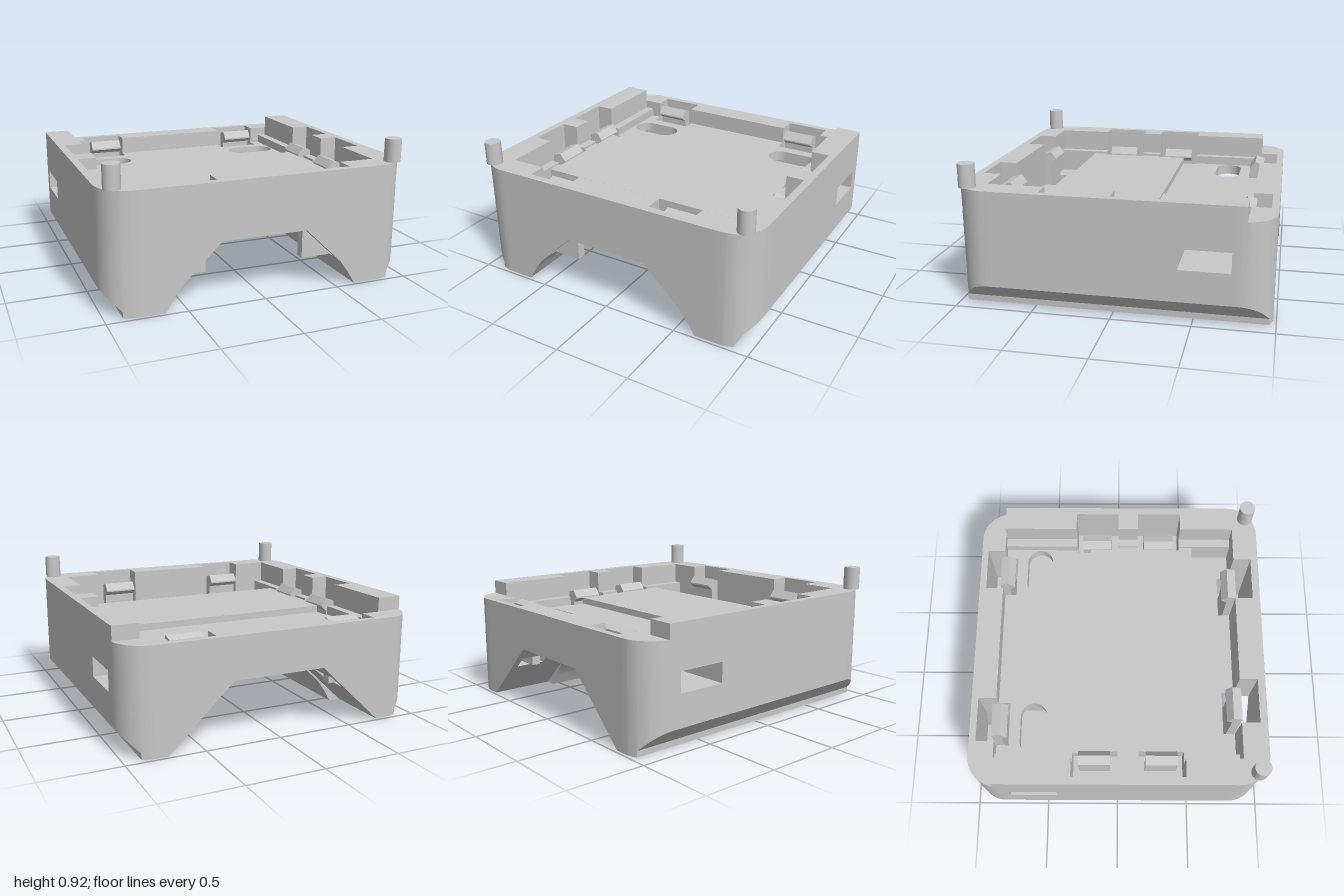
import * as THREE from 'three';
import { toCreasedNormals } from 'three/addons/utils/BufferGeometryUtils.js';

const R = 0.2, HZ = 0.98;
const WIN = { z0: -0.73, z1: -0.41, y0: 0.355, y1: 0.485 };
const SLOT = { x0: 0.4, x1: 0.77 };
const FLOOR = 0.555;
const ARCH_Z = [-0.55, 0.5];

// Underside arch profiles as [|x|, y], one for each section along z
const foot = [[0.889, 0], [0.89, 0.04], [1, 0.15]];
const archFront = [[0, 0.4], [0.28, 0.4], [0.53, 0.16], [0.585, 0.085], [0.635, 0], ...foot];
const archMiddle = [[0, 0.53], [0.15, 0.53], [0.545, 0.16], [0.6, 0.085], [0.65, 0], ...foot];
const archBack = [[0, 0.4], [0.31, 0.4], [0.73, 0], ...foot];

function bottom(x, z) {
  const p = z > ARCH_Z[1] ? archFront : z > ARCH_Z[0] ? archMiddle : archBack;
  const a = Math.abs(x);
  for (let i = 1; i < p.length; i++) {
    if (a <= p[i][0] + 1e-9) {
      const t = (a - p[i - 1][0]) / (p[i][0] - p[i - 1][0]);
      return p[i - 1][1] + t * (p[i][1] - p[i - 1][1]);
    }
  }
  return 0.15;
}

// Regions of the upper side: |x| from, |x| to, z from, z to, height. Later ones win.
const regions = [
  [0, 1, -1, 1, 0.767],             // rim
  [0, 1, -1, -0.81, 0.675],         // lower back rim
  [0, 0.83, -0.815, 0.81, 0.615],   // side ledges
  [0, 0.77, -0.815, -0.2, FLOOR],   // back floor
  [0, 0.77, -0.2, 0.535, 0.6],      // middle floor
  [0, 0.77, 0.535, 0.81, 0.45],     // front trough
  [0.75, 0.95, -0.3, 0, 0.45],      // side clip pockets
  [0.75, 0.95, 0.14, 0.44, 0.45],
  [0.295, 0.59, 0.73, 0.93, 0.18],  // front clip pockets
  [0.405, 0.7, -0.935, -0.735, 0.24], // back clip pockets
];

function top(x, z) {
  const a = Math.abs(x);
  let h = 0;
  for (const [x0, x1, z0, z1, y] of regions) if (a > x0 && a < x1 && z > z0 && z < z1) h = y;
  return h;
}

// Half depth of the rounded outline at x
function zMax(x) {
  const d = Math.max(0, Math.abs(x) - (1 - R));
  return HZ - R + Math.sqrt(Math.max(0, R * R - d * d));
}

function sorted(list) {
  return [...new Set(list.map((v) => Math.round(v * 1e5) / 1e5))].sort((a, b) => a - b);
}

function bodyGeometry() {
  const ax = [SLOT.x0, SLOT.x1, 0.48, 0.51, 1];
  [archFront, archMiddle, archBack].forEach((p) => p.forEach((q) => ax.push(q[0])));
  regions.forEach((r) => ax.push(r[0], r[1]));
  for (let i = 0; i <= 10; i++) ax.push(1 - R + R * Math.sin((i / 10) * Math.PI / 2));
  const xs = sorted(ax.flatMap((v) => [v, -v])).map((v) => v + 0);
  const zs = sorted([-HZ, HZ, ...ARCH_Z, WIN.z0, WIN.z1,
    ...regions.flatMap((r) => [r[2], r[3]]).filter((z) => Math.abs(z) < HZ)]);
  const pos = [];
  const tri = (a, b, c) => {
    const u = new THREE.Vector3(...b).sub(new THREE.Vector3(...a));
    const v = new THREE.Vector3(...c).sub(new THREE.Vector3(...a));
    if (u.cross(v).length() > 1e-9) pos.push(...a, ...b, ...c);
  };
  const quad = (a, b, c, d, flip) => {
    if (flip) { tri(a, d, c); tri(a, c, b); } else { tri(a, b, c); tri(a, c, d); }
  };
  const clampZ = (x, z) => Math.max(-zMax(x), Math.min(zMax(x), z));

  const cell = (i, j) => {
    if (i < 0 || j < 0 || i >= xs.length - 1 || j >= zs.length - 1) return null;
    const x = (xs[i] + xs[i + 1]) / 2, z = (zs[j] + zs[j + 1]) / 2;
    const t = top(x, z);
    return t <= bottom(x, z) ? null : { t, z, x };
  };
  // Upright face between two neighbouring cells, both given at points p and q
  const wall = (p, q, A, B, flip) => {
    const put = (l0, l1, h0, h1, f) => quad([p[0], l0, p[1]], [q[0], l1, q[1]],
      [q[0], h1, q[1]], [p[0], h0, p[1]], f);
    const low = (c) => [bottom(p[0], c.z), bottom(q[0], c.z)];
    if (!A && !B) return;
    if (!A || !B) {
      const c = A || B, [l0, l1] = low(c), f = A ? flip : !flip;
      if (Math.abs(p[0]) === 1 && p[0] === q[0] && c.z > WIN.z0 && c.z < WIN.z1) {
        put(l0, l1, WIN.y0, WIN.y0, f);
        put(WIN.y1, WIN.y1, c.t, c.t, f);
      } else put(l0, l1, c.t, c.t, f);
      return;
    }
    const lo = Math.min(A.t, B.t), hi = Math.max(A.t, B.t);
    if (lo !== hi) put(lo, lo, hi, hi, A.t > B.t ? flip : !flip);
    const a = low(A), b = low(B);
    if (a[0] !== b[0] || a[1] !== b[1]) {
      if (a[0] + a[1] < b[0] + b[1]) put(a[0], a[1], b[0], b[1], flip);
      else put(b[0], b[1], a[0], a[1], !flip);
    }
  };

  for (let i = 0; i < xs.length; i++) {
    for (let j = 0; j < zs.length; j++) {
      const x0 = xs[i], c = cell(i, j);
      if (j < zs.length - 1) {
        wall([x0, clampZ(x0, zs[j])], [x0, clampZ(x0, zs[j + 1])], cell(i - 1, j), c, true);
      }
      if (i === xs.length - 1) continue;
      const x1 = xs[i + 1];
      wall([x0, clampZ(x0, zs[j])], [x1, clampZ(x1, zs[j])], cell(i, j - 1), c, false);
      if (!c) continue;
      const ring = [[x0, zs[j]], [x0, zs[j + 1]], [x1, zs[j + 1]], [x1, zs[j]]]
        .map(([x, z]) => [x, clampZ(x, z)]);
      const a = Math.abs(c.x);
      const slotted = a > SLOT.x0 && a < SLOT.x1 && c.z > WIN.z0 && c.z < WIN.z1;
      if (!slotted) quad(...ring.map(([x, z]) => [x, c.t, z]), false);
      quad(...ring.map(([x, z]) => [x, bottom(x, c.z), z]), true);
    }
  }

  // Chambers behind the side windows
  for (const s of [-1, 1]) {
    const { z0, z1, y0, y1 } = WIN, f = s < 0, i = SLOT.x0 * s, m = SLOT.x1 * s;
    quad([i, y0, z1], [s, y0, z1], [s, y0, z0], [i, y0, z0], f);
    quad([m, y1, z0], [s, y1, z0], [s, y1, z1], [m, y1, z1], f);
    quad([i, y0, z0], [s, y0, z0], [s, y1, z0], [i, y1, z0], f);
    quad([s, y0, z1], [i, y0, z1], [i, y1, z1], [s, y1, z1], f);
    quad([i, y0, z1], [i, y0, z0], [i, y1, z0], [i, y1, z1], f);
  }
  const g = new THREE.BufferGeometry();
  g.setAttribute('position', new THREE.Float32BufferAttribute(pos, 3));
  return toCreasedNormals(g, Math.PI / 6);
}

// Floor plate with an oblong slot
function slotPlateGeometry() {
  const w = (SLOT.x1 - SLOT.x0) / 2, d = (WIN.z1 - WIN.z0) / 2, r = 0.09, h = 0.087;
  const s = new THREE.Shape([[-w, -d], [w, -d], [w, d], [-w, d]].map((p) => new THREE.Vector2(...p)));
  const hole = new THREE.Path();
  hole.absarc(h, 0, r, -Math.PI / 2, Math.PI / 2, false);
  hole.absarc(-h, 0, r, Math.PI / 2, Math.PI * 1.5, false);
  hole.closePath();
  s.holes.push(hole);
  const g = new THREE.ExtrudeGeometry(s, { depth: FLOOR - WIN.y1, bevelEnabled: false, curveSegments: 14 });
  return g.rotateX(-Math.PI / 2);
}

// Hooked snap clip: tip at the origin, growing outward along +x
function clipGeometry(y0, y1, width) {
  const pts = [[0.1, y0], [0.1, y1 - 0.02], [0.04, y1], [0, y1 - 0.05], [0, y1 - 0.06], [0.04, y1 - 0.09], [0.04, y0]];
  const s = new THREE.Shape(pts.map((p) => new THREE.Vector2(...p)));
  return new THREE.ExtrudeGeometry(s, { depth: width, bevelEnabled: false }).translate(0, 0, -width / 2);
}

export function createModel() {
  const group = new THREE.Group();
  group.name = 'batteryTray';
  const grey = new THREE.MeshStandardMaterial({ color: 0xc8c8c8, side: THREE.DoubleSide });
  grey.name = 'grey';
  const add = (name, geometry, x, y, z, turn = 0) => {
    const m = new THREE.Mesh(geometry, grey);
    m.name = name;
    m.position.set(x, y, z);
    m.rotation.y = turn;
    group.add(m);
  };

  add('body', bodyGeometry(), 0, 0, 0);
  const peg = new THREE.CylinderGeometry(0.053, 0.053, 0.15, 28);
  const plate = slotPlateGeometry();
  const sideClip = clipGeometry(0.45, 0.66, 0.21);
  const frontClip = clipGeometry(0.16, 0.7, 0.22);
  const backClip = clipGeometry(0.24, 0.67, 0.22);
  for (const s of [-1, 1]) {
    const side = s > 0 ? 'left' : 'right';
    add(side + 'Peg', peg, 0.917 * s, 0.842, 0.905);
    add(side + 'SlotPlate', plate, (SLOT.x0 + SLOT.x1) / 2 * s, WIN.y1, (WIN.z0 + WIN.z1) / 2);
    for (const z of [-0.155, 0.29]) add(side + 'SideClip', sideClip, 0.75 * s, 0, z, s > 0 ? 0 : Math.PI);
    add(side + 'FrontClip', frontClip, 0.44 * s, 0, 0.73, -Math.PI / 2);
    add(side + 'BackClip', backClip, 0.55 * s, 0, -0.74, Math.PI / 2);
  }
  return group;
}
